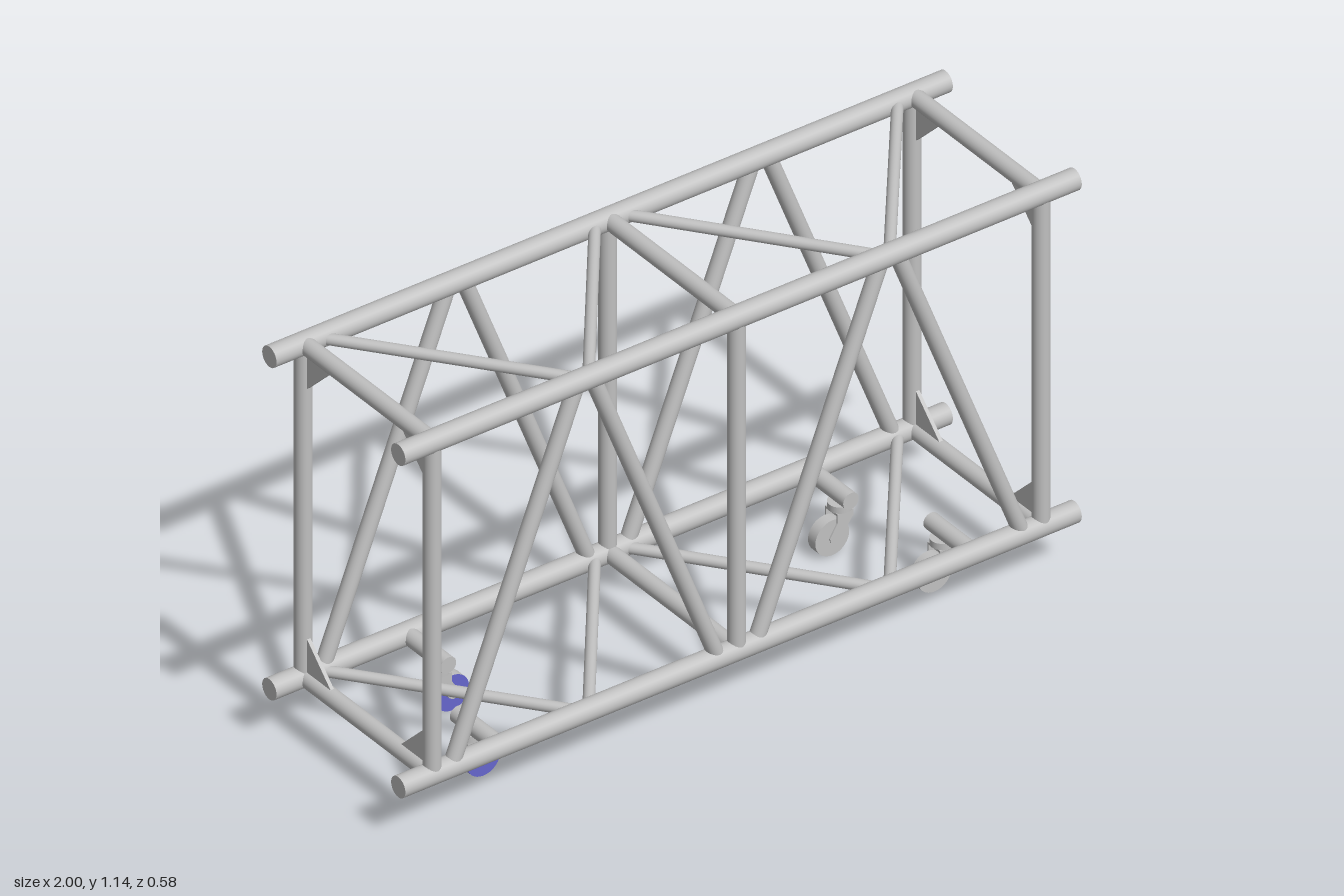
import * as THREE from 'three';

const metal = new THREE.MeshStandardMaterial({ color: 0xc0c0c0 });
metal.name = 'aluminium';
const blue = new THREE.MeshStandardMaterial({ color: 0x6666cc });
blue.name = 'wheelBlue';

const LOW = 0.158, HIGH = 1.112, SIDE = 0.26; // chord centre lines

// Round tube between two points
function tube(parent, name, a, b, radius) {
  const start = new THREE.Vector3(...a), end = new THREE.Vector3(...b);
  const dir = end.clone().sub(start);
  const mesh = new THREE.Mesh(new THREE.CylinderGeometry(radius, radius, dir.length(), 24), metal);
  mesh.name = name;
  mesh.position.copy(start).add(end).multiplyScalar(0.5);
  mesh.quaternion.setFromUnitVectors(new THREE.Vector3(0, 1, 0), dir.normalize());
  parent.add(mesh);
}

// Flat plate in the xy plane, centred on z = 0
function plate(name, points, depth) {
  const shape = new THREE.Shape(points.map(([x, y]) => new THREE.Vector2(x, y)));
  const geo = new THREE.ExtrudeGeometry(shape, { depth, bevelEnabled: false });
  geo.translate(0, 0, -depth / 2);
  const mesh = new THREE.Mesh(geo, metal);
  mesh.name = name;
  return mesh;
}

// Swivel caster, trailing towards +x; wheelMaterials = [tread, front cap, back cap]
function makeCaster(trail, wheelMaterials) {
  const caster = new THREE.Group();
  caster.name = 'caster';
  const swivel = new THREE.Mesh(new THREE.CylinderGeometry(0.031, 0.031, 0.018, 24), metal);
  swivel.name = 'swivelPlate';
  swivel.position.y = 0.127;
  caster.add(swivel);

  const crown = new THREE.Mesh(new THREE.BoxGeometry(0.047, 0.006, 0.05), metal);
  crown.name = 'forkCrown';
  crown.position.set(trail * 0.0015, 0.115, 0);
  caster.add(crown);

  // Fork cheeks lean from the swivel down to the axle
  const outline = [[-0.022, 0.118], [-0.022, 0.1], [0.018, 0.045], [0.03, 0.038],
    [0.044, 0.044], [0.047, 0.056], [0.025, 0.092], [0.025, 0.118]].map(([x, y]) => [x * trail, y]);
  for (const s of [1, -1]) {
    const cheek = plate('forkCheek', outline, 0.004);
    cheek.position.z = s * 0.023;
    caster.add(cheek);
  }
  tube(caster, 'axle', [trail * 0.033, 0.051, -0.025], [trail * 0.033, 0.051, 0.025], 0.006);

  const wheel = new THREE.Mesh(new THREE.CylinderGeometry(0.05, 0.05, 0.03, 32), wheelMaterials);
  wheel.name = 'wheel';
  wheel.rotation.x = Math.PI / 2;
  wheel.position.set(trail * 0.033, 0.05, 0);
  caster.add(wheel);
  return caster;
}

export function createModel() {
  const model = new THREE.Group();
  model.name = 'trussSection';

  // Four long chords
  for (const y of [LOW, HIGH])
    for (const z of [-SIDE, SIDE]) tube(model, 'chord', [-1, y, z], [1, y, z], 0.029);

  // Upright and cross-bar frames
  for (const x of [-0.9, 0, 0.9]) {
    for (const z of [-SIDE, SIDE]) tube(model, 'upright', [x, LOW, z], [x, HIGH, z], 0.023);
    for (const y of [LOW, HIGH]) tube(model, 'crossBar', [x, y, -SIDE], [x, y, SIDE], 0.023);
  }

  // Diagonal braces on the sides, top and bottom
  for (const s of [-1, 1]) {
    for (const z of [-SIDE, SIDE]) {
      tube(model, 'sideBrace', [s * 0.84, LOW + 0.01, z], [s * 0.475, HIGH - 0.01, z], 0.021);
      tube(model, 'sideBrace', [s * 0.06, LOW + 0.01, z], [s * 0.425, HIGH - 0.01, z], 0.021);
    }
    for (const y of [LOW, HIGH]) {
      tube(model, 'flatBrace', [s * 0.85, y, -0.25], [s * 0.46, y, 0.25], 0.015);
      tube(model, 'flatBrace', [s * 0.045, y, -0.25], [s * 0.43, y, 0.25], 0.015);
    }
  }

  // Triangular gussets in the corners of both end frames
  for (const x of [-0.9, 0.9])
    for (const sz of [-1, 1])
      for (const top of [false, true]) {
        const y0 = top ? HIGH - 0.015 : LOW + 0.015, d = top ? -0.11 : 0.11;
        const z0 = sz * (SIDE - 0.015);
        const gusset = plate('gusset', [[-z0, y0], [-z0 + sz * 0.11, y0], [-z0, y0 + d]], 0.01);
        gusset.rotation.y = Math.PI / 2;
        gusset.position.x = x;
        model.add(gusset);
      }

  // Casters on short outrigger stubs
  for (const sx of [-1, 1])
    for (const sz of [-1, 1]) {
      const x = sx * (sz > 0 ? 0.7 : 0.595);
      tube(model, 'casterStub', [x, LOW, sz * SIDE], [x, LOW, sz * 0.09], 0.023);
      let paint = [metal, metal, metal];
      if (sx < 0) paint = sz > 0 ? [blue, blue, blue] : [metal, blue, metal];
      const caster = makeCaster(-sx, paint);
      caster.position.set(x, 0, sz * 0.135);
      model.add(caster);
    }
  return model;
}
